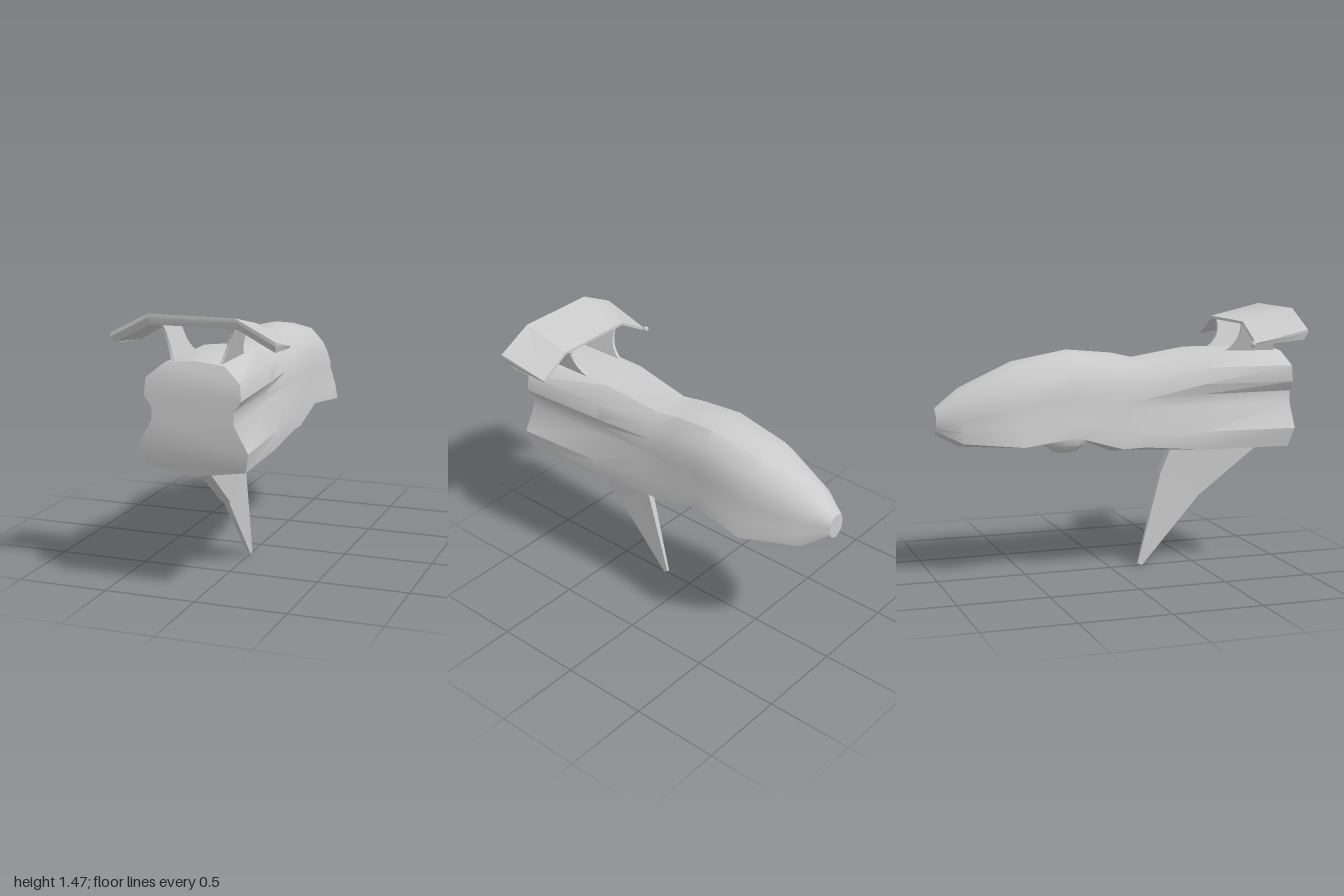
import * as THREE from 'three';
import { toCreasedNormals } from 'three/addons/utils/BufferGeometryUtils.js';

const material = new THREE.MeshStandardMaterial({ color: 0xcccccc });

// Skins equal-length rings (clockwise looking along the run) and closes both ends
function loft(rings, crease) {
  const n = rings[0].length, index = [];
  for (let s = 0; s < rings.length - 1; s++) {
    for (let k = 0; k < n; k++) {
      const a = s * n + k, b = s * n + (k + 1) % n;
      index.push(a, b, a + n, b, b + n, a + n);
    }
  }
  const last = (rings.length - 1) * n;
  for (let k = 0; k < n / 2; k++) {
    const r = k, r2 = k + 1, l = (n - k) % n, l2 = n - k - 1;
    for (const [p, q, t] of [[r, l, r2], [l, l2, r2]]) {
      if (p === q || q === t || p === t) continue;
      index.push(p, q, t, last + p, last + t, last + q);
    }
  }
  const g = new THREE.BufferGeometry();
  g.setAttribute('position', new THREE.Float32BufferAttribute(rings.flat(2), 3));
  g.setIndex(index);
  return toCreasedNormals(g, crease);
}

function add(parent, name, geometry) {
  const mesh = new THREE.Mesh(geometry, material);
  mesh.name = name;
  parent.add(mesh);
  return mesh;
}

// Hull stations: z, top and bottom height, and the half widths and heights of
// the shoulder, upper lobe, waist, lower lobe and keel corner
const stations = [
  { z: 1.00, top: 1.24, bottom: .65, w: [.16, .25, .26, .22, .295, .27], h: [1.225, 1.15, 1.06, .97, .80, .695] },
  { z: 0.48, top: 1.25, bottom: .655, w: [.14, .215, .23, .20, .265, .25], h: [1.235, 1.15, 1.06, .97, .80, .695] },
  { z: 0.13, top: 1.20, bottom: .675, w: [.11, .17, .19, .205, .24, .24], h: [1.185, 1.12, 1.05, .96, .82, .725] },
  { z: 0.00, top: 1.23, bottom: .675, w: [.11, .17, .19, .21, .235, .235], h: [1.21, 1.13, 1.06, .96, .83, .72] },
  { z: -.26, top: 1.255, bottom: .785, w: [.12, .195, .215, .222, .235, .235], h: [1.23, 1.15, 1.08, .98, .88, .795] },
  { z: -.57, top: 1.20, bottom: .72, w: [.11, .18, .205, .228, .26, .275], h: [1.175, 1.10, 1.04, .95, .85, .765] },
  { z: -.87, top: 1.065, bottom: .745, w: [.065, .11, .125, .138, .15, .145], h: [1.045, 1.00, .96, .905, .84, .78] },
  { z: -1.0, top: .96, bottom: .82, w: [.03, .048, .053, .055, .053, .04], h: [.95, .935, .92, .89, .865, .84] },
];

function hullRing({ z, top, bottom, w, h }, i) {
  // The waist is a short upright band at the front that fades out rearwards
  const band = Math.max(.015, .035 - i * .006);
  const xs = [0, ...w.slice(0, 4), ...w.slice(3), 0];
  const ys = [top, ...h.slice(0, 3), h[3] + band, h[3] - band, ...h.slice(4), bottom];
  const right = xs.map((x, k) => {
    // The front face curves back towards its top and bottom
    const inset = i ? 0 : Math.max(0, ys[k] - 1.14) * .4 + Math.max(0, .8 - ys[k]) * .3;
    return [x, ys[k], z - inset];
  });
  const left = right.slice(1, -1).reverse().map(([x, y, zz]) => [-x, y, zz]);
  return [...right, ...left];
}

// Wing section: thick front edge, thin rear edge
function wingRing(x, dx, top, bottom) {
  return [
    [x + dx, top, 1], [x, top - .068, .70],
    [x - dx * .3, bottom - .018, .70], [x + dx * .6, bottom + .002, .90], [x + dx * .7, bottom + .008, .98],
    [x + dx, top - .02, 1],
  ];
}

// Fin section: rear and front corners with half thicknesses
const finRing = (rz, ry, fz, fy, rw, fw) =>
  [[-rw, ry, rz], [rw, ry, rz], [fw, fy, fz], [-fw, fy, fz]];

// Thin slanted plate carrying the wing
function strutGeometry() {
  const outline = new THREE.Shape();
  outline.moveTo(.94, 1.215);
  outline.lineTo(.64, 1.215);
  outline.lineTo(.64, 1.235);
  outline.quadraticCurveTo(.73, 1.29, .71, 1.395);
  outline.lineTo(.93, 1.415);
  outline.quadraticCurveTo(.89, 1.32, .94, 1.215);
  const g = new THREE.ExtrudeGeometry(outline, { depth: .016, bevelEnabled: false, curveSegments: 6 });
  g.rotateY(-Math.PI / 2);
  // Lean the plate outwards as it rises
  const p = g.attributes.position;
  for (let i = 0; i < p.count; i++) p.setX(i, p.getX(i) + .14 + (p.getY(i) - 1.235) * .34);
  g.computeVertexNormals();
  return g;
}

export function createModel() {
  const model = new THREE.Group();
  model.name = 'spacecraft';

  add(model, 'hull', loft(stations.map(hullRing), .62));

  // Overhead wing with drooped tips
  add(model, 'wing', loft([
    wingRing(.41, .025, 1.365, 1.302),
    wingRing(.23, 0, 1.47, 1.405),
    wingRing(-.23, 0, 1.47, 1.405),
    wingRing(-.41, -.025, 1.365, 1.302),
  ], .5));

  const struts = new THREE.Group();
  struts.name = 'wingStruts';
  model.add(struts);
  const strut = strutGeometry();
  add(struts, 'leftStrut', strut);
  add(struts, 'rightStrut', strut).scale.x = -1;

  // Small lamp at the right wing tip
  const lamp = add(model, 'tipLamp', new THREE.OctahedronGeometry(.018, 1));
  lamp.position.set(-.412, 1.292, .685);

  // Ventral fin: broad root and raked blade
  add(model, 'finRoot', loft([
    finRing(.36, .70, .93, .70, .037, .037),
    finRing(.29, .53, .54, .40, .029, .024),
  ], .3));
  add(model, 'finBlade', loft([
    finRing(.30, .545, .55, .41, .020, .016),
    finRing(.165, .012, .19, 0, .008, .008),
  ], .3));

  // Faceted blister under the hull
  const blister = add(model, 'bellyBlister',
    toCreasedNormals(new THREE.SphereGeometry(1, 10, 6), .7));
  blister.scale.set(.10, .105, .14);
  blister.position.set(0, .78, -.27);

  return model;
}
